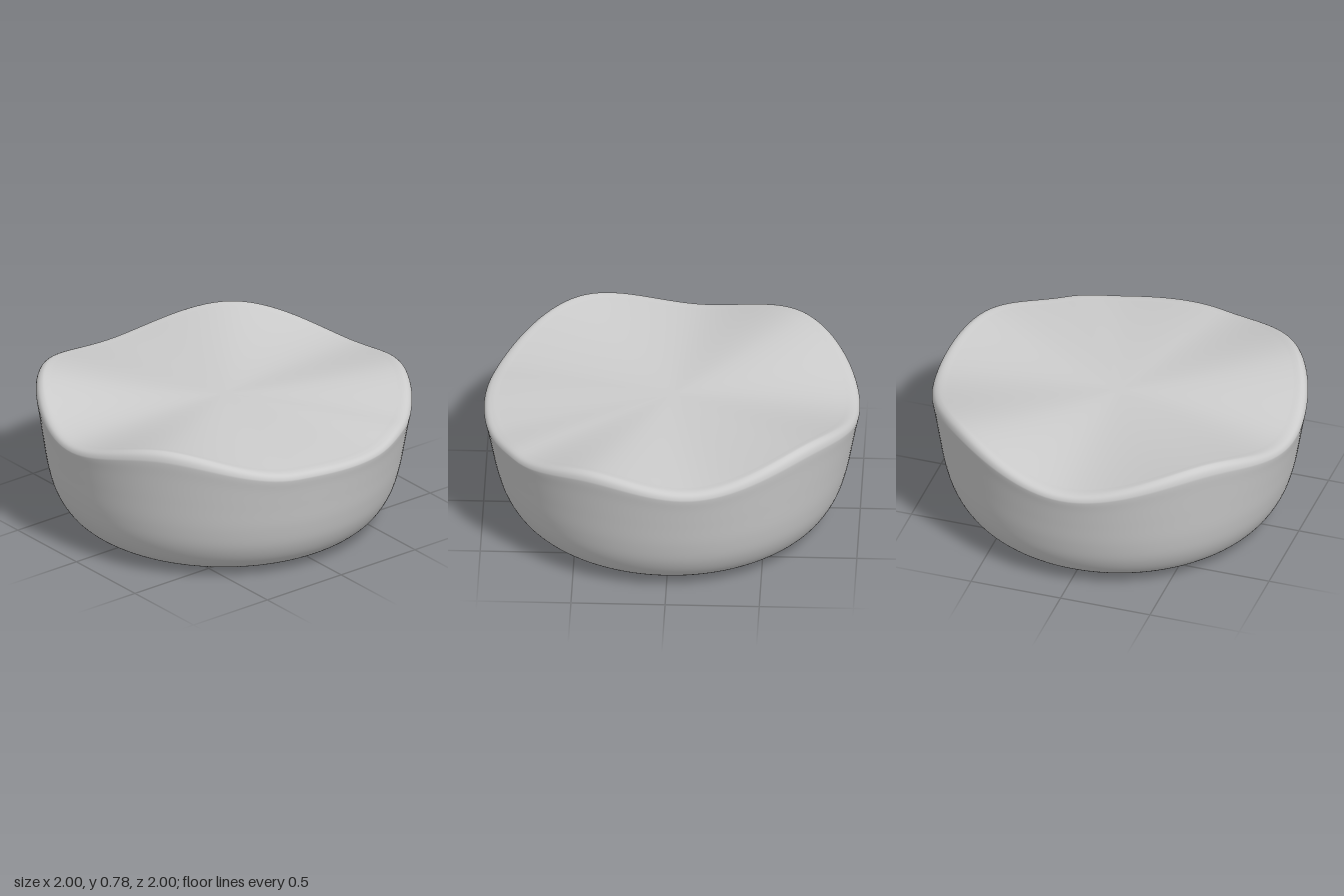
import * as THREE from 'three';
import { mergeVertices } from 'three/addons/utils/BufferGeometryUtils.js';

// Rim crests and dips: [degrees from +x towards +z, height]
const RIM = [
  [-17, 0.63], [15, 0.655], [57, 0.785], [96, 0.655], [135, 0.785],
  [180, 0.655], [222, 0.782], [262, 0.68], [293, 0.748], [325, 0.655], [343, 0.63],
];
const REF = 0.7;      // rim height the profile is drawn at
const CENTRE = 0.695; // height of the middle of the seat

function rimHeight(deg) {
  let d = ((deg % 360) + 360) % 360;
  if (d > 343) d -= 360;
  let i = 0;
  while (i < RIM.length - 2 && d > RIM[i + 1][0]) i++;
  const [a, ha] = RIM[i], [b, hb] = RIM[i + 1];
  return THREE.MathUtils.lerp(ha, hb, THREE.MathUtils.smoothstep(d, a, b));
}

// Half section: flat base, rounded foot, flared side, tight rim, flat seat
function sectionPoints() {
  const side = new THREE.SplineCurve([
    [0.62, 0.003], [0.7, 0.012], [0.78, 0.045], [0.85, 0.105], [0.905, 0.2],
    [0.94, 0.32], [0.965, 0.46], [0.985, 0.58], [0.997, 0.645], [0.997, 0.668],
    [0.985, 0.689], [0.96, 0.7], [0.92, 0.7],
  ].map(([r, y]) => new THREE.Vector2(r, y))).getPoints(72);
  const base = [0, 0.2, 0.4, 0.55].map((r) => new THREE.Vector2(r, 0));
  const seat = [];
  for (let i = 1; i <= 18; i++) seat.push(new THREE.Vector2(0.92 * (1 - i / 18), REF));
  return [...base, ...side, ...seat];
}

function cushionGeometry() {
  const lathe = new THREE.LatheGeometry(sectionPoints(), 144);
  lathe.deleteAttribute('uv');
  lathe.deleteAttribute('normal');
  const geo = mergeVertices(lathe, 1e-4);
  const pos = geo.attributes.position;
  for (let i = 0; i < pos.count; i++) {
    const x = pos.getX(i), y = pos.getY(i), z = pos.getZ(i);
    const r = Math.hypot(x, z);
    const h = rimHeight(THREE.MathUtils.radToDeg(Math.atan2(z, x)));
    // The wave fades out down the side and towards the middle of the seat
    const up = THREE.MathUtils.clamp((y - 0.25) / (REF - 0.25), 0, 1);
    const across = y > REF - 0.02 ? Math.min(1, r / 0.96) ** 2 : 1;
    const level = THREE.MathUtils.lerp(CENTRE, h, across);
    pos.setY(i, y + (level - REF) * up ** 1.5);
  }
  geo.computeVertexNormals();
  return geo;
}

export function createModel() {
  const group = new THREE.Group();
  group.name = 'pouf';
  const cushion = new THREE.Mesh(
    cushionGeometry(),
    new THREE.MeshStandardMaterial({ color: 0xcccccc, roughness: 0.8 }),
  );
  cushion.name = 'cushion';
  group.add(cushion);
  return group;
}
